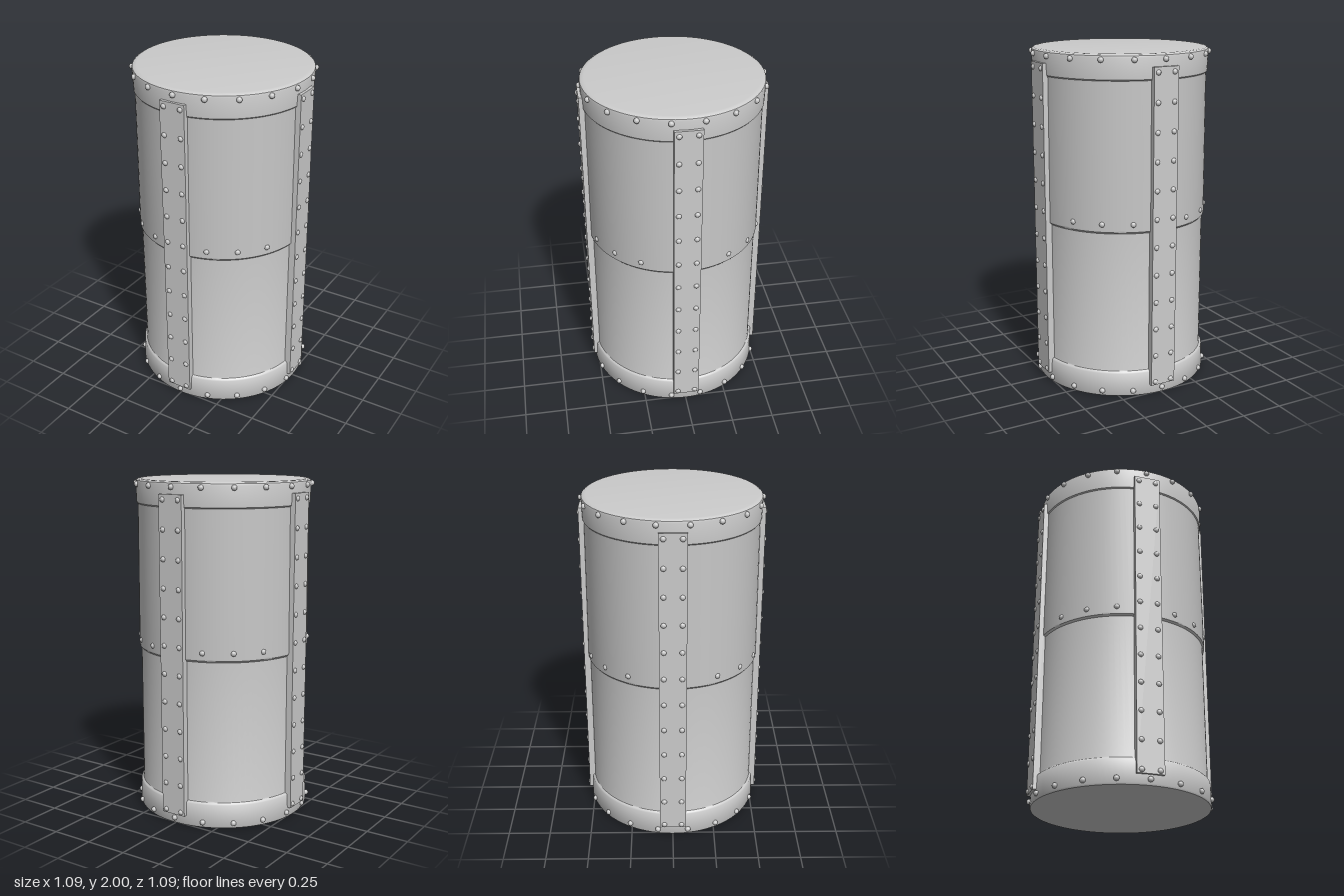
import * as THREE from 'three';
import { toCreasedNormals } from 'three/addons/utils/BufferGeometryUtils.js';

const material = new THREE.MeshStandardMaterial({ color: 0xcccccc });

// Surface of revolution with sharp edges kept
function turned(name, profile) {
  const points = profile.map(([r, y]) => new THREE.Vector2(r, y));
  const mesh = new THREE.Mesh(toCreasedNormals(new THREE.LatheGeometry(points, 96), 0.6), material);
  mesh.name = name;
  return mesh;
}

// Domed rivet head pointing along +z, base at z = 0
const rivetGeometry = new THREE.LatheGeometry(
  [[0.016, -0.008], [0.016, 0.004], [0.012, 0.010], [0.006, 0.013], [0, 0.014]]
    .map(([r, y]) => new THREE.Vector2(r, y)), 10);
rivetGeometry.rotateX(Math.PI / 2);

function rivet(name, x, y, z) {
  const mesh = new THREE.Mesh(rivetGeometry, material);
  mesh.name = name;
  mesh.position.set(x, y, z);
  return mesh;
}

// Ring of rivets every 20 degrees, facing outward
function rivetRing(name, radius, y, keep = () => true) {
  const ring = new THREE.Group();
  ring.name = name;
  for (let deg = 0; deg < 360; deg += 20) {
    if (!keep(deg)) continue;
    const a = THREE.MathUtils.degToRad(deg);
    const head = rivet('rivet', Math.sin(a) * radius, y, Math.cos(a) * radius);
    head.rotation.y = a;
    ring.add(head);
  }
  return ring;
}

// Flat vertical strap with two columns of rivets
function strap() {
  const group = new THREE.Group();
  group.name = 'strap';
  const plate = new THREE.Mesh(new THREE.BoxGeometry(0.156, 1.865, 0.05), material);
  plate.name = 'strapPlate';
  plate.position.set(0, 0.9975, 0.507);
  group.add(plate);
  for (let i = 0; i < 12; i++) {
    for (const x of [-0.052, 0.052]) {
      group.add(rivet('strapRivet', x, 0.085 + i * 0.165, 0.529));
    }
  }
  return group;
}

export function createModel() {
  const model = new THREE.Group();
  model.name = 'rivetedDrum';

  // Closed drum: bottom band, lower shell, overlapping upper shell, top band
  model.add(turned('drumBody', [
    [0, 0.003], [0.506, 0.003], [0.514, 0.006], [0.519, 0.016], [0.515, 0.145], [0.510, 0.152], [0.502, 0.158],
    [0.500, 0.165], [0.500, 0.995], [0.504, 1.000], [0.510, 1.006], [0.511, 1.016],
    [0.507, 1.845], [0.508, 1.855], [0.514, 1.862],
    [0.519, 1.980], [0.516, 1.991], [0.506, 1.998], [0.49, 2], [0, 2],
  ]));

  // Rivets on both bands and on the middle seam between the straps
  model.add(rivetRing('topRivets', 0.522, 1.97));
  model.add(rivetRing('bottomRivets', 0.522, 0.038));
  model.add(rivetRing('seamRivets', 0.508, 1.05, (deg) => {
    const fromStrap = Math.abs(((deg + 45) % 90) - 45);
    return fromStrap > 15;
  }));

  // Four straps, one on each side
  for (let i = 0; i < 4; i++) {
    const side = strap();
    side.rotation.y = i * Math.PI / 2;
    model.add(side);
  }
  return model;
}
